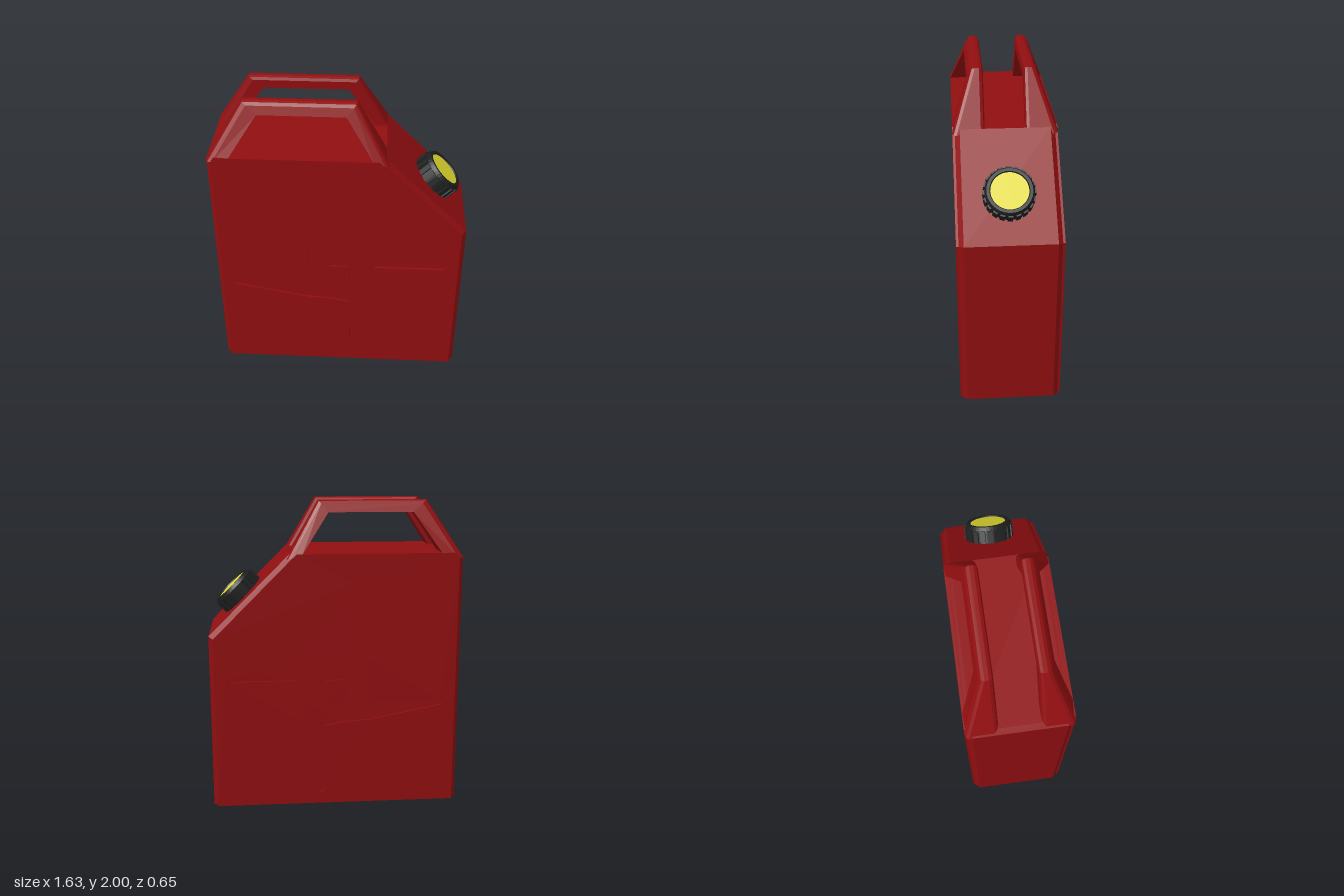
import * as THREE from 'three';

const red = new THREE.MeshStandardMaterial({ color: 0x900e10 });
red.name = 'red paint';
const black = new THREE.MeshStandardMaterial({ color: 0x1e1f1f });
black.name = 'black rubber';
const yellow = new THREE.MeshStandardMaterial({ color: 0xe2da30 });
yellow.name = 'yellow insert';

const TOP = 1.675, HALF = 0.325, RECESS = 0.015, CHAMFER = 0.03;

function add(parent, name, geometry, material) {
  const mesh = new THREE.Mesh(geometry, material);
  mesh.name = name;
  parent.add(mesh);
  return mesh;
}

// Faceted normals
function flat(geometry) {
  const g = geometry.index ? geometry.toNonIndexed() : geometry;
  g.computeVertexNormals();
  return g;
}

const toShape = (pts) => new THREE.Shape(pts.map(([x, y]) => new THREE.Vector2(x, y)));

// Can side outline, inset by the chamfer
const outline = () => toShape([
  [-0.785, 0], [0.785, 0], [0.785, 1.1376], [0.2476, TOP], [-0.765, TOP], [-0.785, 1.64],
]);

// Four-bladed pinwheel pressed into the sides
function pinwheel() {
  const blade = [[-0.105, 0.71], [-0.075, 0.685], [-0.075, 0.235], [0.06, 0.21], [0.22, 0.2]];
  const pts = [];
  for (let k = 0; k < 4; k++) {
    for (const [x, y] of blade) {
      const p = new THREE.Vector2(x, y).rotateAround(new THREE.Vector2(), -k * Math.PI / 2);
      pts.push([p.x, p.y + 0.78]);
    }
  }
  return toShape(pts);
}

// Chamfered core, flattened at the base and the top
function coreGeometry() {
  const wall = HALF - RECESS - CHAMFER;
  const g = new THREE.ExtrudeGeometry(outline(), {
    depth: wall * 2, bevelEnabled: true, bevelSize: CHAMFER, bevelThickness: CHAMFER, bevelSegments: 1,
  });
  g.translate(0, 0, -wall);
  const p = g.attributes.position;
  for (let i = 0; i < p.count; i++) {
    const y = p.getY(i);
    if (y > TOP && p.getX(i) > 0) p.setX(i, p.getX(i) + y - TOP);
    p.setY(i, Math.min(TOP, Math.max(0, y)));
  }
  return flat(g);
}

// Handle rail: rounded sections swept up one post, along the grip and down the other
function handleGeometry(side) {
  const stations = [ // outer x, y, inner x, y
    [-0.815, 1.64, -0.675, 1.67],
    [-0.59, 2, -0.5, 1.925],
    [0.105, 2, 0.042, 1.925],
    [0.31, 1.64, 0.213, 1.67],
  ];
  const section = [ // fraction towards the inner edge, inner or outer face, rounding
    [1, 0, 0], [0.3, 0, 0], [0.08, 0, 0.008], [0, 0, 0.025],
    [0, 1, -0.025], [0.08, 1, -0.008], [0.3, 1, 0], [1, 1, 0],
  ];
  const pos = [], index = [], n = section.length;
  for (const [ox, oy, ix, iy] of stations) {
    for (const [t, face, off] of section) {
      const y = oy + (iy - oy) * t;
      const outer = HALF - Math.max(0, y - 1.67) * 0.38;
      pos.push(ox + (ix - ox) * t, y, side * ((face ? outer : 0.125) + off));
    }
  }
  for (let i = 0; i < stations.length - 1; i++) {
    for (let j = 0; j < n; j++) {
      const a = i * n + j, b = i * n + (j + 1) % n, c = b + n, d = a + n;
      if (side > 0) index.push(a, b, c, a, c, d);
      else index.push(a, c, b, a, d, c);
    }
  }
  const g = new THREE.BufferGeometry();
  g.setAttribute('position', new THREE.Float32BufferAttribute(pos, 3));
  g.setIndex(index);
  return flat(g);
}

// Rounded square boss in the middle of the pinwheel
function hubShape() {
  const r = 0.072, c = 0.032, y = 0.782, s = new THREE.Shape();
  s.moveTo(-r + c, y - r);
  s.lineTo(r - c, y - r).quadraticCurveTo(r, y - r, r, y - r + c);
  s.lineTo(r, y + r - c).quadraticCurveTo(r, y + r, r - c, y + r);
  s.lineTo(-r + c, y + r).quadraticCurveTo(-r, y + r, -r, y + r - c);
  s.lineTo(-r, y - r + c).quadraticCurveTo(-r, y - r, -r + c, y - r);
  return s;
}

function buildCap() {
  const cap = new THREE.Group();
  cap.name = 'cap';
  const profile = [[0.15, -0.01], [0.15, 0.082], [0.138, 0.106], [0.12, 0.106], [0.114, 0.096], [0, 0.096]]
    .map(([x, y]) => new THREE.Vector2(x, y));
  add(cap, 'capBody', flat(new THREE.LatheGeometry(profile, 40)), black);
  const ribs = 20;
  for (let i = 0; i < ribs; i++) {
    const a = (i / ribs) * Math.PI * 2;
    const rib = add(cap, 'capRib', new THREE.BoxGeometry(0.02, 0.085, 0.03), black);
    rib.position.set(Math.cos(a) * 0.149, 0.04, Math.sin(a) * 0.149);
    rib.rotation.y = -a;
  }
  const disc = add(cap, 'capInsert', new THREE.CircleGeometry(0.115, 40), yellow);
  disc.rotation.x = -Math.PI / 2;
  disc.position.y = 0.099;
  // Stands square on the sloped shoulder
  cap.position.set(0.597, 1.368, 0);
  cap.rotation.z = -Math.PI / 4;
  return cap;
}

export function createModel() {
  const model = new THREE.Group();
  model.name = 'fuelCan';
  add(model, 'body', coreGeometry(), red);

  // Side panels with the pinwheel cut out, the hub, and a handle on each side
  const panel = outline();
  panel.holes.push(pinwheel());
  for (const side of [1, -1]) {
    const label = side > 0 ? 'front' : 'back';
    const zPanel = side > 0 ? HALF - RECESS : -HALF;
    add(model, label + 'Panel',
      new THREE.ExtrudeGeometry(panel, { depth: RECESS, bevelEnabled: false }), red).position.z = zPanel;
    add(model, label + 'Hub',
      new THREE.ExtrudeGeometry(hubShape(), { depth: 0.012, bevelEnabled: false }), red)
      .position.z = side > 0 ? HALF - RECESS : -HALF + RECESS - 0.012;
    add(model, label + 'Handle', handleGeometry(side), red);
  }

  model.add(buildCap());
  return model;
}
